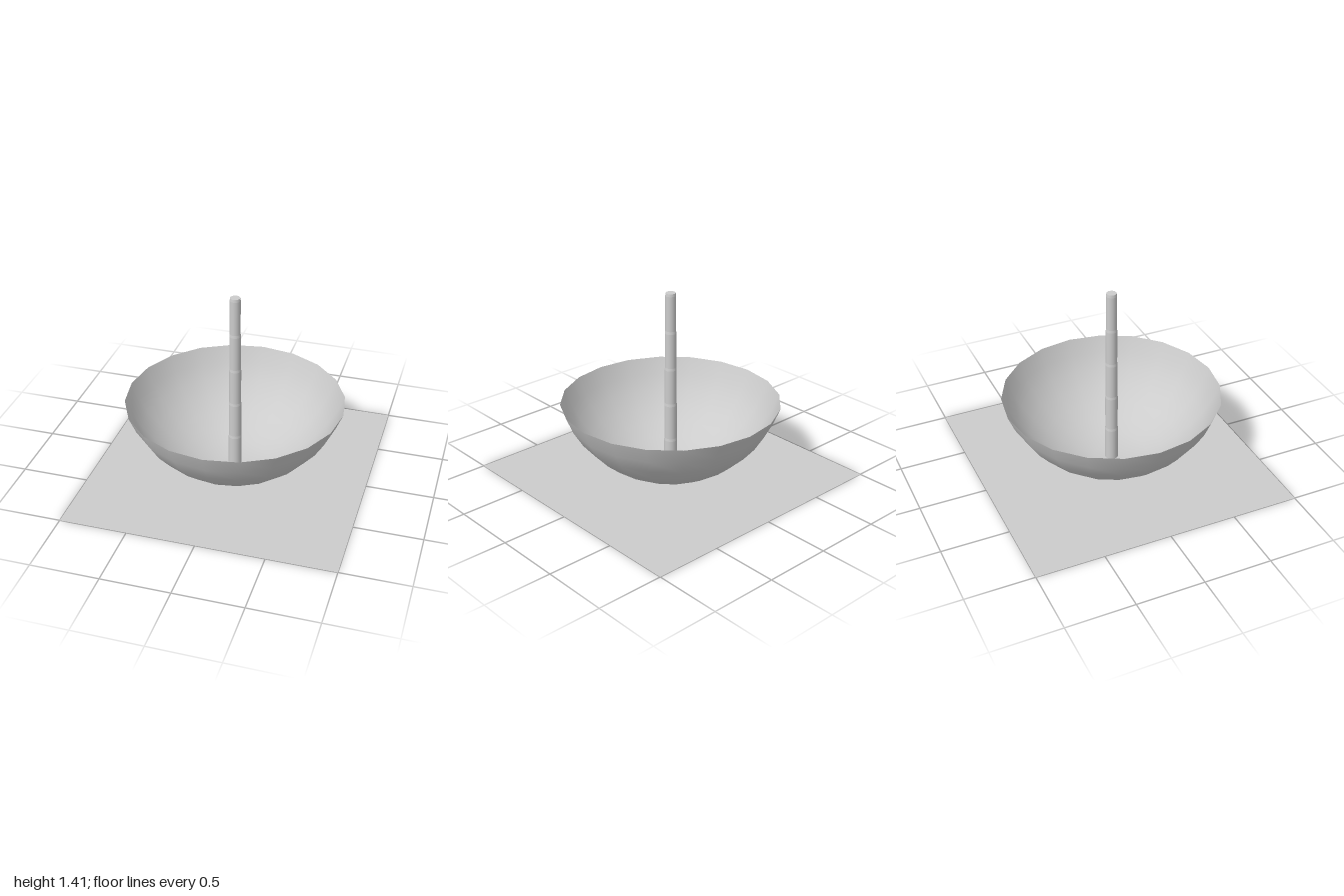
import * as THREE from 'three';

export function createModel() {
  const model = new THREE.Group();
  const grey = new THREE.MeshStandardMaterial({ color: 0xcccccc });
  const thin = new THREE.MeshStandardMaterial({ color: 0xcccccc, side: THREE.DoubleSide });

  const add = (name, geometry, material, parent = model) => {
    const mesh = new THREE.Mesh(geometry, material);
    mesh.name = name;
    parent.add(mesh);
    return mesh;
  };

  // Flat square ground sheet
  add('groundPlane', new THREE.PlaneGeometry(2, 2).rotateX(-Math.PI / 2), thin);

  // Thin open bowl: a sphere cut at 72 degrees from its lowest point
  const R = 0.846;
  const profile = [new THREE.Vector2(0, 0.007)];
  for (let i = 1; i <= 8; i++) {
    const a = i * Math.PI / 20;
    profile.push(new THREE.Vector2(R * Math.sin(a), R * (1 - Math.cos(a))));
  }
  add('bowl', new THREE.LatheGeometry(profile, 20), thin);

  // Stepped post of stacked sections, each slimmer and bevelled at its top
  const post = new THREE.Group();
  post.name = 'post';
  model.add(post);
  const count = 5, height = 1.41 / count, bevel = 0.02;
  for (let i = 0; i < count; i++) {
    const r = 0.049 - i * 0.0025;
    const y = i * height;
    add('postSection', new THREE.CylinderGeometry(r, r, height - bevel, 20, 1, true)
      .translate(0, y + (height - bevel) / 2, 0), grey, post);
    add('postBevel', new THREE.CylinderGeometry(r - 0.003, r, bevel, 20)
      .translate(0, y + height - bevel / 2, 0), grey, post);
  }

  return model;
}
